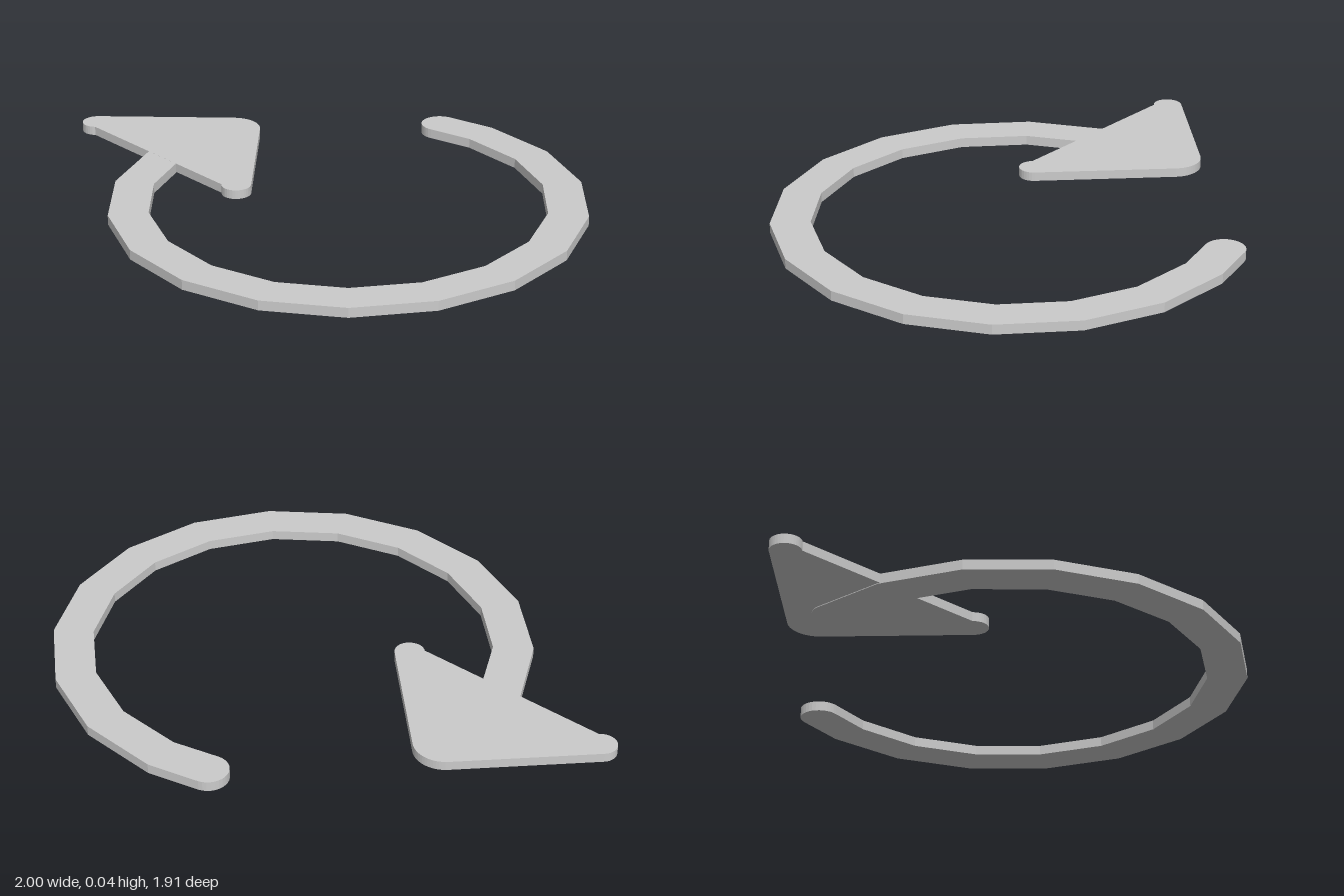
import * as THREE from 'three';

const rad = THREE.MathUtils.degToRad;

// Shapes are drawn in plan with (x, -z) and laid flat, rising from y = base to y = top
function plate(name, shape, base, top) {
  const geometry = new THREE.ExtrudeGeometry(shape, {
    depth: top - base, bevelEnabled: false, curveSegments: 8,
  });
  geometry.rotateX(-Math.PI / 2).translate(0, base, 0);
  const mesh = new THREE.Mesh(
    geometry,
    new THREE.MeshStandardMaterial({ color: 0xcccccc, flatShading: true })
  );
  mesh.name = name;
  return mesh;
}

// Faceted open ring with a rounded cap at each end
function ringShape() {
  const cx = 0.047, inner = 0.793, outer = 0.953;
  const mid = (inner + outer) / 2, half = (outer - inner) / 2;
  const polar = (r, deg) => [cx + r * Math.cos(rad(deg)), r * Math.sin(rad(deg))];
  const angles = [];
  for (let a = 44; a >= -216; a -= 20) angles.push(a);

  const shape = new THREE.Shape();
  shape.moveTo(...polar(outer, angles[0]));
  angles.slice(1).forEach((a) => shape.lineTo(...polar(outer, a)));
  shape.absarc(...polar(mid, -235), half, rad(-226), rad(-406), true);
  angles.reverse().forEach((a) => shape.lineTo(...polar(inner, a)));
  shape.absarc(...polar(mid, 57.2), half, rad(233), rad(53), true);
  shape.closePath();
  return shape;
}

// Bent stroke: two round-ended arms meeting at a right angle with a rounded tip
function arrowShape() {
  const corner = new THREE.Vector2(-0.37, 0.765);
  const width = 0.12, r = width / 2, length = 0.583, tilt = -7.5;
  const along = new THREE.Vector2(Math.cos(rad(tilt)), Math.sin(rad(tilt)));
  const across = new THREE.Vector2(-along.y, along.x);
  const tailA = corner.clone().addScaledVector(across, r).addScaledVector(along, -length);
  const tailB = corner.clone().addScaledVector(along, r).addScaledVector(across, -length);

  const shape = new THREE.Shape();
  shape.moveTo(corner.x, corner.y);
  shape.absarc(tailA.x, tailA.y, r, rad(tilt + 270), rad(tilt + 90), true);
  shape.absarc(corner.x, corner.y, width, rad(tilt + 90), rad(tilt), true);
  shape.absarc(tailB.x, tailB.y, r, rad(tilt), rad(tilt - 180), true);
  shape.closePath();
  return shape;
}

export function createModel() {
  const group = new THREE.Group();
  group.name = 'circularArrow';
  group.add(
    plate('openRing', ringShape(), 0, 0.04),
    plate('arrowHead', arrowShape(), 0.003, 0.0405)
  );
  return group;
}
